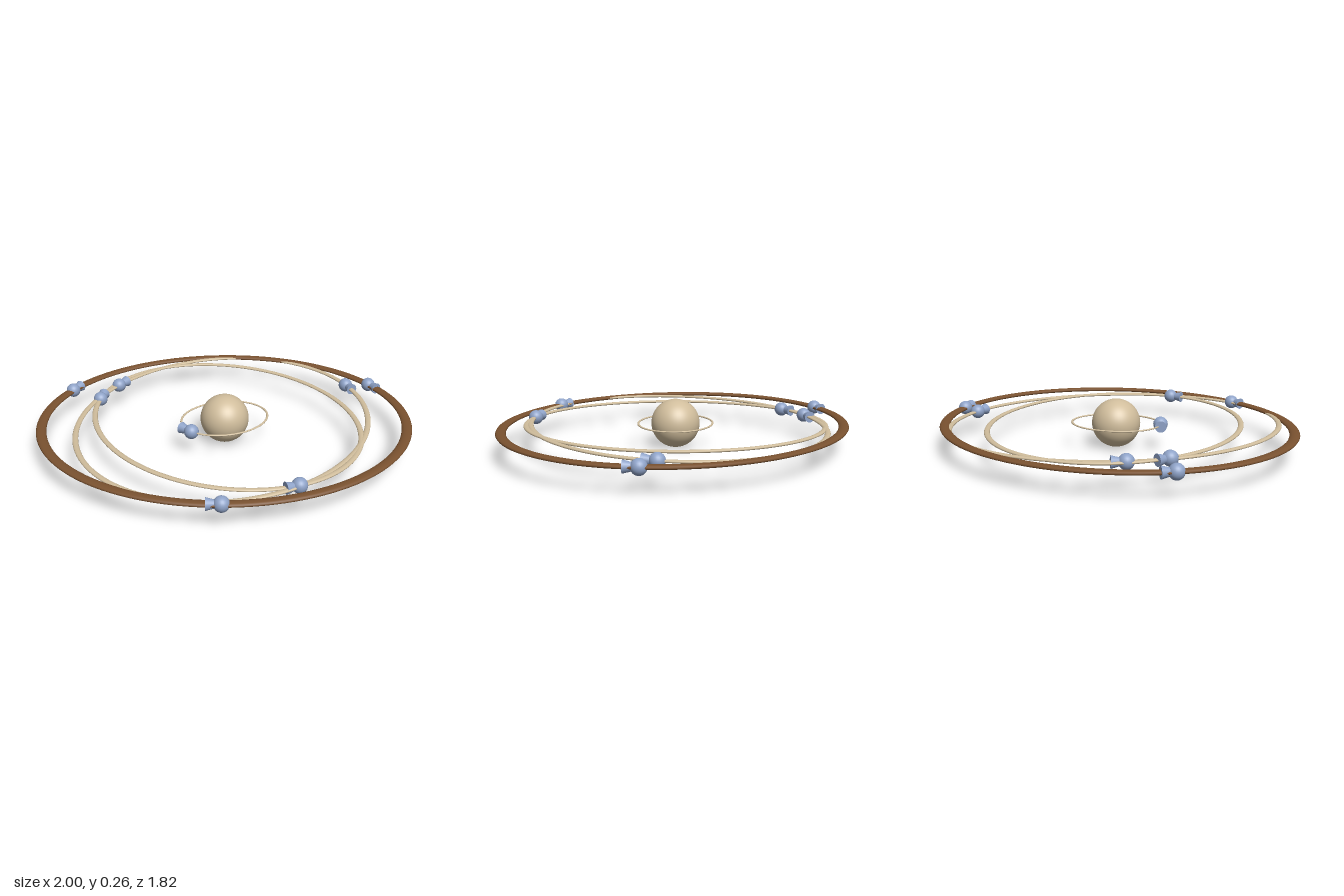
import * as THREE from 'three';

const tan = new THREE.MeshStandardMaterial({ name: 'sand', color: 0xd0bd9c });
const brown = new THREE.MeshStandardMaterial({ name: 'brown', color: 0x7a5230 });
const blue = new THREE.MeshStandardMaterial({ name: 'blueGrey', color: 0x8fa3c8 });

const CENTRE_Y = 0.13;

// Flattened elliptical band: half-axes a and b, section half-width w and half-height h
function bandGeometry(a, b, w, h, segments = 128, sides = 12) {
  const pos = [], normals = [], index = [];
  for (let i = 0; i <= segments; i++) {
    const t = (i / segments) * Math.PI * 2;
    const out = new THREE.Vector2(b * Math.cos(t), a * Math.sin(t)).normalize();
    for (let j = 0; j <= sides; j++) {
      const s = (j / sides) * Math.PI * 2, c = Math.cos(s), d = Math.sin(s);
      pos.push(a * Math.cos(t) + out.x * w * c, h * d, b * Math.sin(t) + out.y * w * c);
      const n = new THREE.Vector3(out.x * c / w, d / h, out.y * c / w).normalize();
      normals.push(n.x, n.y, n.z);
      if (i < segments && j < sides) {
        const p = i * (sides + 1) + j, q = p + sides + 1;
        index.push(p, p + 1, q, q, p + 1, q + 1);
      }
    }
  }
  const g = new THREE.BufferGeometry();
  g.setAttribute('position', new THREE.Float32BufferAttribute(pos, 3));
  g.setAttribute('normal', new THREE.Float32BufferAttribute(normals, 3));
  g.setIndex(index);
  return g;
}

// Small ball with a flared tail pointing along +z
function createMarker() {
  const marker = new THREE.Group();
  marker.name = 'orbitMarker';
  const ball = new THREE.Mesh(new THREE.SphereGeometry(0.039, 24, 16), blue);
  ball.name = 'markerBall';
  const tail = new THREE.Mesh(new THREE.CylinderGeometry(0.031, 0.013, 0.07, 20), blue);
  tail.name = 'markerTail';
  tail.rotation.x = Math.PI / 2;
  tail.position.z = 0.037;
  marker.add(ball, tail);
  return marker;
}

// Each orbit: half-axes, turn in degrees from +x towards +z, section, markers near (x, z)
const orbits = [
  { name: 'outerOrbit', a: 0.973, b: 0.877, turn: 0, w: 0.027, h: 0.011, mat: brown,
    at: [[-0.84, -0.44], [0.88, -0.375], [-0.09, 0.872]] },
  { name: 'secondOrbit', a: 0.885, b: 0.755, turn: -61, w: 0.015, h: 0.0075, mat: tan,
    at: [[-0.58, -0.49], [0.745, -0.38]] },
  { name: 'thirdOrbit', a: 0.799, b: 0.663, turn: 60, w: 0.015, h: 0.0075, mat: tan,
    at: [[-0.679, -0.305], [0.283, 0.738]] },
  { name: 'innerOrbit', a: 0.2425, b: 0.199, turn: -26, w: 0.006, h: 0.004, mat: tan,
    at: [[-0.187, 0.15]] },
];

export function createModel() {
  const model = new THREE.Group();
  model.name = 'orbitModel';
  model.position.z = -0.004;

  const sphere = new THREE.Mesh(new THREE.SphereGeometry(0.13, 48, 32), tan);
  sphere.name = 'centralSphere';
  sphere.position.y = CENTRE_Y;
  model.add(sphere);

  for (const o of orbits) {
    const orbit = new THREE.Group();
    orbit.name = o.name;
    const turn = THREE.MathUtils.degToRad(o.turn);
    orbit.position.y = CENTRE_Y;
    orbit.rotation.y = -turn;
    const band = new THREE.Mesh(bandGeometry(o.a, o.b, o.w, o.h), o.mat);
    band.name = o.name + 'Band';
    orbit.add(band);

    // Markers sit on the band with their tails along its tangent
    for (const [x, z] of o.at) {
      const u = x * Math.cos(turn) + z * Math.sin(turn);
      const v = z * Math.cos(turn) - x * Math.sin(turn);
      const t = Math.atan2(v / o.b, u / o.a);
      const marker = createMarker();
      marker.position.set(o.a * Math.cos(t), 0, o.b * Math.sin(t));
      marker.rotation.y = Math.atan2(-o.a * Math.sin(t), o.b * Math.cos(t));
      orbit.add(marker);
    }
    model.add(orbit);
  }

  const root = new THREE.Group();
  root.name = 'model';
  root.add(model);
  return root;
}
